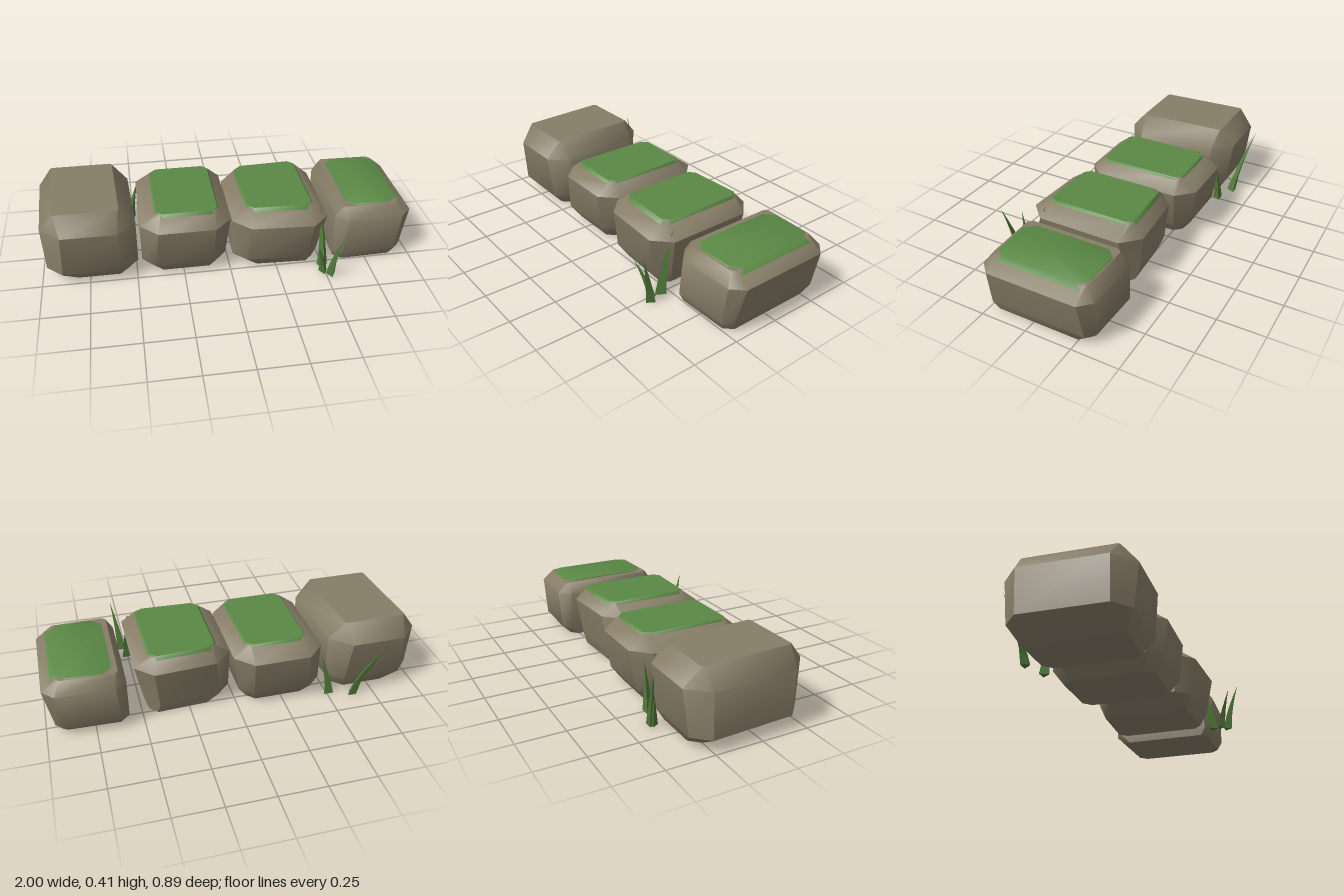
import * as THREE from 'three';
import { toCreasedNormals } from 'three/addons/utils/BufferGeometryUtils.js';

const stoneMat = new THREE.MeshStandardMaterial({ color: 0x877d67 });
stoneMat.name = 'stone';
const mossMat = new THREE.MeshStandardMaterial({ color: 0x5a8845 });
mossMat.name = 'moss';
const grassMat = new THREE.MeshStandardMaterial({ color: 0x50793a });
grassMat.name = 'grass';

// Closed loft through chamfered rectangles, each [y, x0, x1, z0, z1, corner]
function loft(levels, taper, skew) {
  const pos = [], idx = [];
  const [, ax, bx] = levels[0];
  const mid = (ax + bx) / 2;
  const put = (x, y, z) => pos.push(x + skew * z, y, z * (1 + taper * (x - mid)));
  for (const [y, x0, x1, z0, z1, c] of levels) {
    put(x1 - c, y, z1); put(x1, y, z1 - c);
    put(x1, y, z0 + c); put(x1 - c, y, z0);
    put(x0 + c, y, z0); put(x0, y, z0 + c);
    put(x0, y, z1 - c); put(x0 + c, y, z1);
  }
  const n = levels.length;
  for (const [y, x0, x1, z0, z1] of [levels[0], levels[n - 1]]) {
    put((x0 + x1) / 2, y, (z0 + z1) / 2);
  }
  for (let i = 0; i < 8; i++) {
    const j = (i + 1) % 8;
    for (let k = 0; k < n - 1; k++) {
      const a = k * 8, b = a + 8;
      idx.push(a + i, a + j, b + j, a + i, b + j, b + i);
    }
    idx.push(n * 8, j, i);
    idx.push(n * 8 + 1, (n - 1) * 8 + i, (n - 1) * 8 + j);
  }
  const g = new THREE.BufferGeometry();
  g.setAttribute('position', new THREE.Float32BufferAttribute(pos, 3));
  g.setIndex(idx);
  return toCreasedNormals(g, 0.75);
}

const stones = [
  { // tall bare stone
    taper: 0, skew: 0.05,
    body: [
      [0, -0.87, -0.55, -0.3, 0.2, 0.05],
      [0.07, -0.98, -0.5, -0.34, 0.26, 0.08],
      [0.31, -0.99, -0.5, -0.37, 0.28, 0.1],
      [0.405, -0.92, -0.58, -0.29, 0.2, 0.01],
    ],
  },
  {
    taper: 0, skew: 0,
    body: [
      [0, -0.4, -0.07, -0.29, 0.2, 0.04],
      [0.07, -0.47, -0.02, -0.34, 0.25, 0.07],
      [0.28, -0.47, 0.01, -0.37, 0.27, 0.09],
      [0.347, -0.38, -0.06, -0.28, 0.19, 0.02],
    ],
    moss: [
      [0.334, -0.395, -0.048, -0.295, 0.205, 0.04],
      [0.351, -0.38, -0.06, -0.28, 0.19, 0.03],
    ],
  },
  {
    taper: 0.2, skew: 0,
    body: [
      [0, 0.11, 0.46, -0.26, 0.23, 0.04],
      [0.06, 0.02, 0.48, -0.28, 0.27, 0.07],
      [0.28, 0.015, 0.525, -0.31, 0.305, 0.09],
      [0.348, 0.1, 0.44, -0.25, 0.21, 0.02],
    ],
    moss: [
      [0.335, 0.085, 0.455, -0.263, 0.228, 0.04],
      [0.353, 0.1, 0.44, -0.25, 0.21, 0.03],
    ],
  },
  {
    taper: -0.1, skew: 0,
    body: [
      [0, 0.58, 0.93, -0.29, 0.24, 0.04],
      [0.05, 0.575, 0.95, -0.34, 0.265, 0.04],
      [0.26, 0.575, 0.995, -0.35, 0.265, 0.06],
      [0.322, 0.61, 0.92, -0.3, 0.22, 0.02],
    ],
    moss: [
      [0.306, 0.635, 0.945, -0.305, 0.225, 0.04],
      [0.326, 0.64, 0.92, -0.29, 0.205, 0.05],
    ],
  },
];

// Grass blades: [base x, base z, tip x, tip y, tip z, radius]
const frontBlades = [
  [0.525, 0.375, 0.56, 0.285, 0.445, 0.028],
  [0.49, 0.345, 0.435, 0.21, 0.41, 0.026],
  [0.5, 0.295, 0.49, 0.335, 0.21, 0.033],
];
const backBlades = [
  [-0.63, -0.38, -0.79, 0.34, -0.445, 0.026],
  [-0.64, -0.37, -0.73, 0.2, -0.41, 0.024],
  [-0.51, -0.335, -0.46, 0.25, -0.325, 0.03],
];

// Three-sided spike bent outward along its height
function blade([bx, bz, tx, h, tz, r]) {
  const g = new THREE.ConeGeometry(r, h, 3, 4).toNonIndexed();
  const p = g.attributes.position;
  for (let i = 0; i < p.count; i++) {
    const t = THREE.MathUtils.clamp(p.getY(i) / h + 0.5, 0, 1);
    const bend = Math.pow(t, 1.4);
    p.setXYZ(i, p.getX(i) + bx + (tx - bx) * bend, t * h, p.getZ(i) + bz + (tz - bz) * bend);
  }
  g.computeVertexNormals();
  const mesh = new THREE.Mesh(g, grassMat);
  mesh.name = 'grassBlade';
  return mesh;
}

function clump(name, blades) {
  const g = new THREE.Group();
  g.name = name;
  blades.forEach((b) => g.add(blade(b)));
  return g;
}

export function createModel() {
  const model = new THREE.Group();
  model.name = 'mossyStoneRow';

  // Row of stones, three with a moss cap
  stones.forEach(({ body, moss, taper, skew }, i) => {
    const stone = new THREE.Mesh(loft(body, taper, skew), stoneMat);
    stone.name = `stone${i + 1}`;
    model.add(stone);
    if (moss) {
      const cap = new THREE.Mesh(loft(moss, taper, skew), mossMat);
      cap.name = `mossCap${i + 1}`;
      model.add(cap);
    }
  });

  // Grass at the foot of the stones
  model.add(clump('frontGrass', frontBlades), clump('backGrass', backBlades));
  return model;
}
